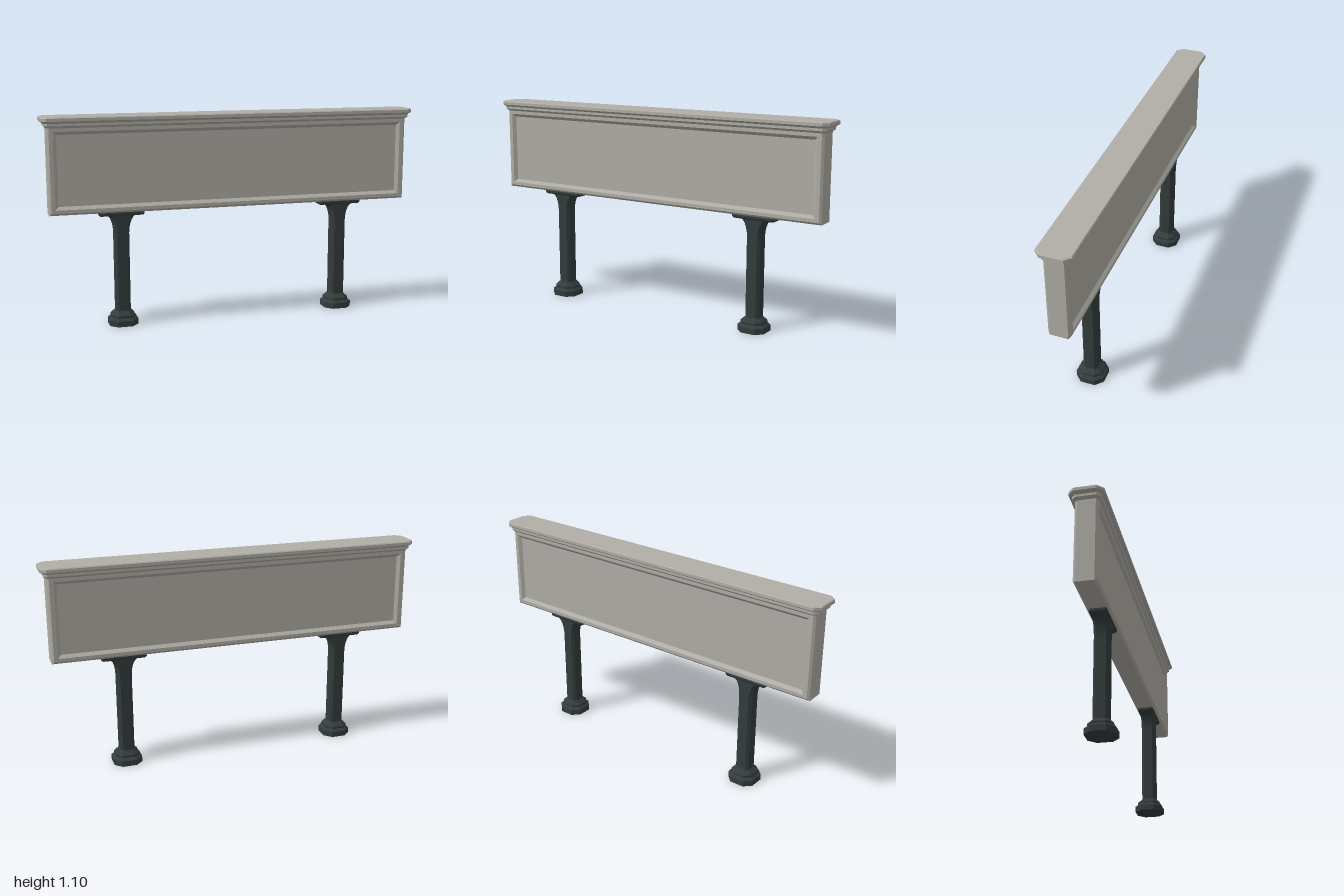
import * as THREE from 'three';

// Skins a list of equal-sized rings (counterclockwise about the loft axis), with end caps.
function loft(rings) {
  const pos = [];
  const tri = (...pts) => pts.forEach((p) => pos.push(...p));
  const n = rings[0].length;
  for (let i = 0; i < rings.length - 1; i++) {
    for (let j = 0; j < n; j++) {
      const k = (j + 1) % n;
      const a = rings[i][j], b = rings[i][k], c = rings[i + 1][k], d = rings[i + 1][j];
      tri(a, b, c);
      tri(a, c, d);
    }
  }
  const first = rings[0], last = rings[rings.length - 1];
  for (let j = 1; j < n - 1; j++) {
    tri(first[0], first[j + 1], first[j]);
    tri(last[0], last[j], last[j + 1]);
  }
  const g = new THREE.BufferGeometry();
  g.setAttribute('position', new THREE.Float32BufferAttribute(pos, 3));
  g.computeVertexNormals();
  return g;
}

// Horizontal rectangle with cut corners: height, half width, half depth, corner cut
const cutRing = ([y, w, d, c]) => [
  [w, -d + c], [w - c, -d], [-w + c, -d], [-w, -d + c],
  [-w, d - c], [-w + c, d], [w - c, d], [w, d - c],
].map(([x, z]) => [x, y, z]);

// Upright rectangle: depth position, half width, bottom, top
const boardRing = ([z, w, b, t]) => [[w, b, z], [w, t, z], [-w, t, z], [-w, b, z]];

export function createModel() {
  const stone = new THREE.MeshStandardMaterial({ color: 0xb0aea6 });
  stone.name = 'warm grey stone';
  const iron = new THREE.MeshStandardMaterial({ color: 0x343c3c });
  iron.name = 'dark iron';

  const model = new THREE.Group();
  model.name = 'signBoard';
  const add = (parent, name, geometry, material) => {
    const mesh = new THREE.Mesh(geometry, material);
    mesh.name = name;
    parent.add(mesh);
  };

  // Board with a bevelled rim and a sunken panel on both faces
  const half = [
    [0.042, 0.92, 0.646, 1.008],
    [0.057, 0.936, 0.63, 1.024],
    [0.057, 0.957, 0.613, 1.046],
    [0.046, 0.968, 0.602, 1.05],
  ];
  const back = half.map(([z, ...r]) => [-z, ...r]);
  add(model, 'board', loft([...back, ...half.reverse()].map(boardRing)), stone);

  // Stepped cornice along the top
  add(model, 'cornice', loft([
    [1.042, 0.968, 0.057, 0.011],
    [1.053, 0.982, 0.07, 0.018],
    [1.066, 0.982, 0.07, 0.018],
    [1.077, 1.0, 0.087, 0.03],
    [1.092, 1.0, 0.087, 0.03],
    [1.097, 0.996, 0.083, 0.03],
  ].map(cutRing)), stone);

  // Two posts, each with a stepped foot, a flared head and a mounting plate
  for (const side of [-1, 1]) {
    const post = new THREE.Group();
    post.name = side < 0 ? 'rightPost' : 'leftPost';
    post.position.x = side * 0.6;
    model.add(post);

    add(post, 'foot', loft([
      [0, 0.075, 0.075, 0.037],
      [0.03, 0.075, 0.075, 0.037],
      [0.042, 0.061, 0.061, 0.029],
      [0.054, 0.061, 0.061, 0.029],
      [0.075, 0.038, 0.038, 0.013],
    ].map(cutRing)), iron);

    // Shaft widening sideways along a quarter curve under the plate
    const shaft = [[0.05, 0.038, 0.038, 0.013]];
    for (let i = 0; i <= 6; i++) {
      const a = (i / 6) * Math.PI / 2;
      shaft.push([0.49 + 0.095 * Math.sin(a), 0.038 + 0.045 * (1 - Math.cos(a)), 0.038, 0.013]);
    }
    add(post, 'shaft', loft(shaft.map(cutRing)), iron);

    add(post, 'mountingPlate', loft([
      [0.583, 0.112, 0.038, 0.006],
      [0.59, 0.118, 0.044, 0.008],
      [0.605, 0.118, 0.044, 0.008],
    ].map(cutRing)), iron);
  }

  return model;
}
